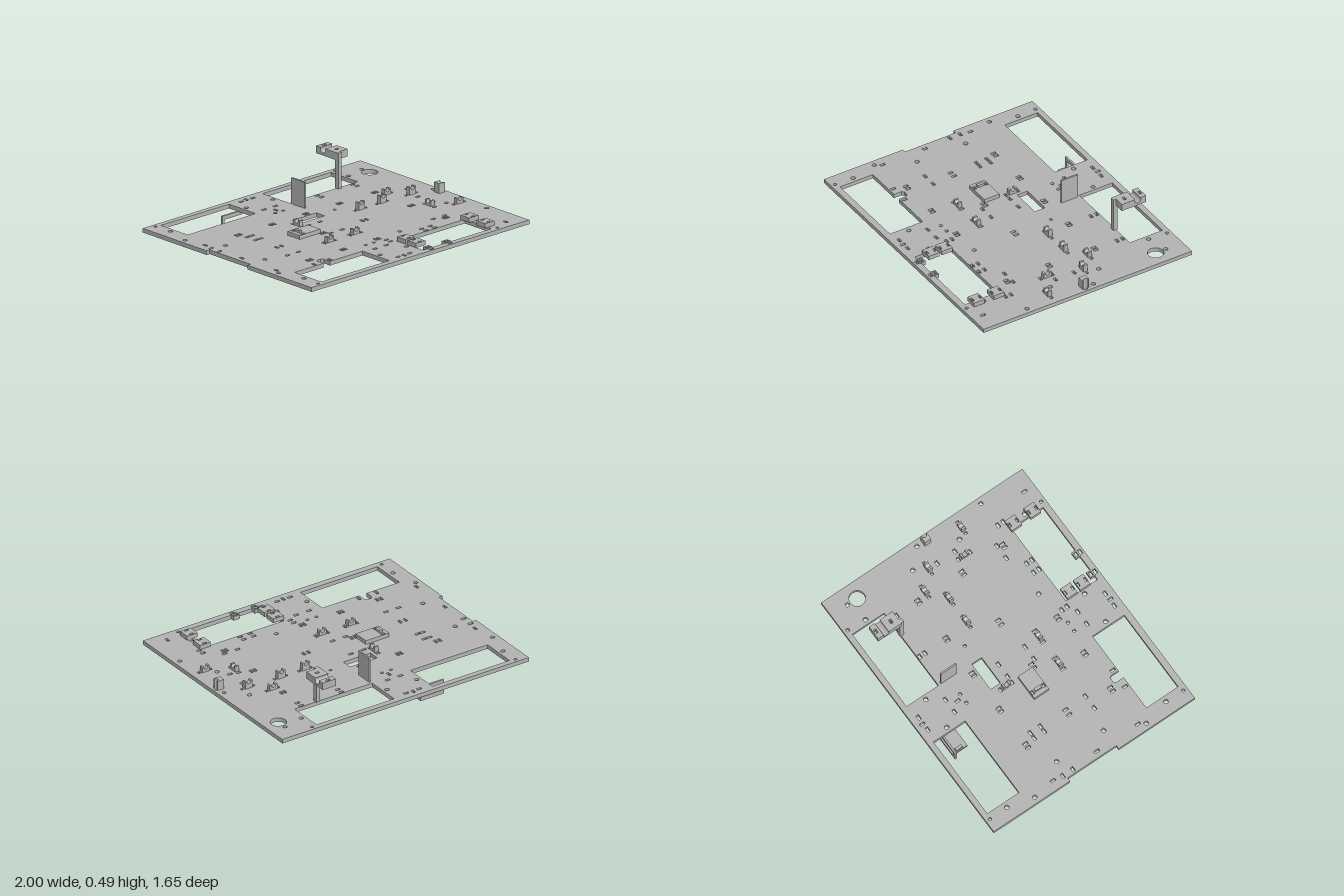
import * as THREE from 'three';

const gray = new THREE.MeshStandardMaterial({ color: 0xb2b2b2 });
gray.name = 'matte gray';

// closed rectangular path in plan (x, z)
const rect = (x, z, w, d, P = THREE.Path) => new P([[-1, -1], [1, -1], [1, 1], [-1, 1]]
  .map(([a, b]) => new THREE.Vector2(x + a * w / 2, z + b * d / 2)));
const box2 = (x0, x1, z0, z1, P) => rect((x0 + x1) / 2, (z0 + z1) / 2, x1 - x0, z1 - z0, P);
const circle = (x, z, r) => new THREE.Path().absarc(x, z, r, 0, Math.PI * 2);
const wide = (x, z) => rect(x, z, 0.036, 0.02);
const tall = (x, z) => rect(x, z, 0.019, 0.037);

// horizontal slab between two heights, with vertical holes
function slabGeo(shape, holes, y0, y1) {
  shape.holes.push(...holes);
  const g = new THREE.ExtrudeGeometry(shape, { depth: y1 - y0, bevelEnabled: false, curveSegments: 10 });
  return g.rotateX(Math.PI / 2).translate(0, y1, 0);
}

// upright block with a round cradle cut in its top edge, cradle axis along z
function cradleGeo(w, h, t, r, drop = 0.3) {
  const a = Math.asin(drop), s = new THREE.Shape();
  s.moveTo(-w / 2, 0);
  s.lineTo(w / 2, 0);
  s.lineTo(w / 2, h);
  s.lineTo(r * Math.cos(a), h);
  s.absarc(0, h - r * drop, r, a, Math.PI - a, true);
  s.lineTo(-w / 2, h);
  return new THREE.ExtrudeGeometry(s, { depth: t, bevelEnabled: false, curveSegments: 12 }).translate(0, 0, -t / 2);
}

export function createModel() {
  const model = new THREE.Group();
  const add = (name, geo, parent = model) => {
    const m = new THREE.Mesh(geo, gray);
    m.name = name;
    parent.add(m);
    return m;
  };
  const box = (name, x0, x1, y0, y1, z0, z1, parent) => add(name, new THREE.BoxGeometry(x1 - x0, y1 - y0, z1 - z0)
    .translate((x0 + x1) / 2, (y0 + y1) / 2, (z0 + z1) / 2), parent);
  const group = (name) => {
    const g = new THREE.Group();
    g.name = name;
    model.add(g);
    return g;
  };
  const TOP = 0.23, BOT = 0.2;

  // large cut-outs
  const holes = [
    box2(-0.87, -0.245, -0.785, -0.525), box2(0.065, 0.695, -0.785, -0.525),
    box2(0.065, 0.695, 0.52, 0.78), box2(-0.16, 0.06, -0.255, -0.175),
    circle(0.885, -0.61, 0.056),
    new THREE.Path([[-0.87, 0.52], [-0.605, 0.52], [-0.605, 0.46], [-0.59, 0.445], [-0.56, 0.445],
      [-0.545, 0.46], [-0.545, 0.52], [-0.245, 0.52], [-0.245, 0.78], [-0.87, 0.78]]
      .map(p => new THREE.Vector2(...p))),
  ];

  // round holes
  for (const s of [-1, 1]) {
    for (const x of [-0.908, -0.21, 0.033, 0.729]) holes.push(circle(x, s * 0.652, 0.016));
    for (const x of [-0.912, 0.737]) holes.push(circle(x, s * 0.793, 0.012));
    for (const x of [-0.835, 0.833]) holes.push(circle(x, s * 0.192, 0.016));
    for (const x of [-0.143, -0.07]) holes.push(circle(x, s * 0.442, 0.012));
  }
  for (const [x, z] of [[-0.957, -0.457], [-0.957, 0.455], [0.957, 0.455], [0.957, -0.07], [0.885, -0.69],
    [0.97, 0], [0.21, 0.4]]) holes.push(circle(x, z, 0.015));
  holes.push(circle(0.193, -0.218, 0.011));

  // small slots, in rows of equal z
  const wideRows = {
    '-0.765': [-0.15, -0.045], '-0.545': [-0.15, -0.045], '-0.508': [0.305, 0.632], '-0.465': [0.305, 0.632],
    '-0.218': [-0.942, -0.61, -0.567], '-0.135': [-0.942, -0.61, -0.567], '-0.11': [-0.15, -0.045],
    '-0.03': [0.78], '0.107': [-0.15, -0.045], '0.117': [0.78], '0.235': [-0.668, -0.567],
    '0.37': [0.545, 0.65], '0.46': [0.027, 0.353, 0.433, 0.765], '0.503': [0.027, 0.353, 0.433, 0.765],
    '0.54': [-0.15, -0.045], '0.765': [-0.15, -0.045], '0.8': [0.123, 0.294],
  };
  const tallRows = {
    '-0.772': [-0.098], '-0.483': [-0.098],
    '-0.29': [-0.93, -0.642, -0.61, -0.328, -0.3, -0.018, 0.01, 0.29, 0.317, 0.615, 0.642],
    '0.07': [-0.93, -0.61, -0.567, -0.203, -0.171, 0.176, 0.214, 0.61, 0.64],
    '0.405': [-0.93, -0.642, -0.61, -0.328, -0.3, -0.018, 0.01, 0.612, 0.64],
    '0.49': [-0.663, -0.52], '0.743': [0.86], '0.77': [-0.098],
  };
  for (const [z, xs] of Object.entries(wideRows)) xs.forEach(x => holes.push(wide(x, +z)));
  for (const [z, xs] of Object.entries(tallRows)) xs.forEach(x => holes.push(tall(x, +z)));

  // cable clips with a slot at both ends: x, z, height, turned, slot length
  const clips = [
    [0.327, -0.11, 0.055, 0, 0.022], [0.526, -0.11, 0.055, 0, 0.022], [0.785, -0.1, 0.055, 0, 0.018],
    [0.662, -0.213, 0.04, 0, 0.022], [0.893, 0.25, 0.04, 0, 0.022],
    [-0.273, 0.225, 0.04, 0, 0.037], [-0.038, 0.225, 0.04, 0, 0.037],
    [-0.2, -0.157, 0.04, 1, 0.033], [0.72, 0.15, 0.04, 1, 0.033],
  ];
  for (const [x, z, h, turned, len] of clips) {
    for (const s of [-1, 1]) {
      holes.push(turned ? rect(x, z + s * 0.047, len, 0.018) : rect(x + s * 0.047, z, 0.018, len));
    }
    const clip = add('cableClip', cradleGeo(0.058, h, 0.032, 0.016));
    clip.position.set(x, TOP, z);
    if (turned) clip.rotation.y = Math.PI / 2;
  }

  // base plate with a shallow notch in its side edge
  const outline = new THREE.Shape([[-1, -0.825], [1, -0.825], [1, 0.825], [-1, 0.825], [-1, 0.2],
    [-0.973, 0.2], [-0.973, -0.2], [-1, -0.2]].map(p => new THREE.Vector2(...p)));
  add('basePlate', slabGeo(outline, holes, BOT, TOP));

  // sensor trays: one on the plate, one hung below it
  const tray = (name, x0, x1, y, z) => {
    const g = group(name), hx = -0.348;
    add('trayFloor', slabGeo(box2(x0, x1, z - 0.06, z + 0.06, THREE.Shape),
      [rect(hx, z - 0.045, 0.03, 0.018), rect(hx, z + 0.045, 0.03, 0.018)], y, y + 0.028), g);
    box('trayBump', -0.358, -0.336, y + 0.028, y + 0.045, z - 0.026, z + 0.026, g);
    return g;
  };
  tray('upperTray', -0.39, -0.2, TOP, 0);
  const hung = tray('hungTray', -0.362, -0.2, 0.094, -0.65);
  box('hangerFoot', -0.39, -0.2, 0.094, 0.122, -0.71, -0.696, hung);
  box('hangerWall', -0.39, -0.368, 0.122, BOT, -0.71, -0.696, hung);
  box('hangerBar', -0.368, -0.2, 0.172, BOT, -0.71, -0.696, hung);

  // tall bracket with a cradle arm reaching back over the cut-out
  const bracket = group('tallBracket');
  box('bracketPost', 0.495, 0.525, TOP, 0.432, -0.534, -0.503, bracket);
  box('postHead', 0.495, 0.525, 0.432, 0.485, -0.524, -0.503, bracket);
  const slot = z => [rect(0.546, z, 0.03, 0.018)];
  add('armTip', slabGeo(box2(0.492, 0.598, -0.716, -0.68, THREE.Shape), slot(-0.698), 0.432, 0.485), bracket);
  add('armRoot', slabGeo(box2(0.492, 0.598, -0.62, -0.524, THREE.Shape), slot(-0.575), 0.432, 0.485), bracket);
  const cradle = add('armCradle', cradleGeo(0.06, 0.053, 0.106, 0.024, 0.5), bracket);
  cradle.rotation.y = Math.PI / 2;
  cradle.position.set(0.545, 0.432, -0.65);

  // thin upright divider
  box('divider', 0.064, 0.076, TOP, 0.415, -0.505, -0.376);

  // leg under the plate with thin foot tabs
  const leg = group('underLeg');
  box('legPost', 0.593, 0.613, 0, BOT, -0.172, -0.15, leg);
  box('legTab', 0.572, 0.613, 0.03, 0.034, -0.15, -0.095, leg);
  box('legSole', 0.572, 0.613, 0, 0.004, -0.172, -0.15, leg);

  // edge holder with a cradle
  const holder = add('edgeHolder', slabGeo(box2(0.925, 0.978, -0.025, 0.025, THREE.Shape), [], TOP, 0.3));
  holder.geometry.dispose();
  const bite = new THREE.Shape([[0.978, -0.025], [0.925, -0.025], [0.925, 0.025], [0.978, 0.025]]
    .map(p => new THREE.Vector2(...p)));
  bite.absarc(0.975, 0, 0.017, Math.PI / 2, -Math.PI / 2, false);
  holder.geometry = slabGeo(bite, [], TOP, 0.3);

  // mounting pads around the front cut-out
  for (const [x, z] of [[0.103, 0.572], [0.103, 0.677], [0.712, 0.548], [0.712, 0.703]]) {
    add('mountPad', slabGeo(rect(x, z, 0.085, 0.083, THREE.Shape),
      [rect(x, z - 0.03, 0.03, 0.015), rect(x, z + 0.03, 0.03, 0.015)], TOP, 0.262));
  }

  // low strap frames on the front rim
  for (const x of [0.123, 0.294]) {
    add('strapFrame', slabGeo(rect(x, 0.766, 0.05, 0.04, THREE.Shape), [rect(x, 0.766, 0.032, 0.02)], BOT + 0.005, TOP + 0.006));
  }
  return model;
}
